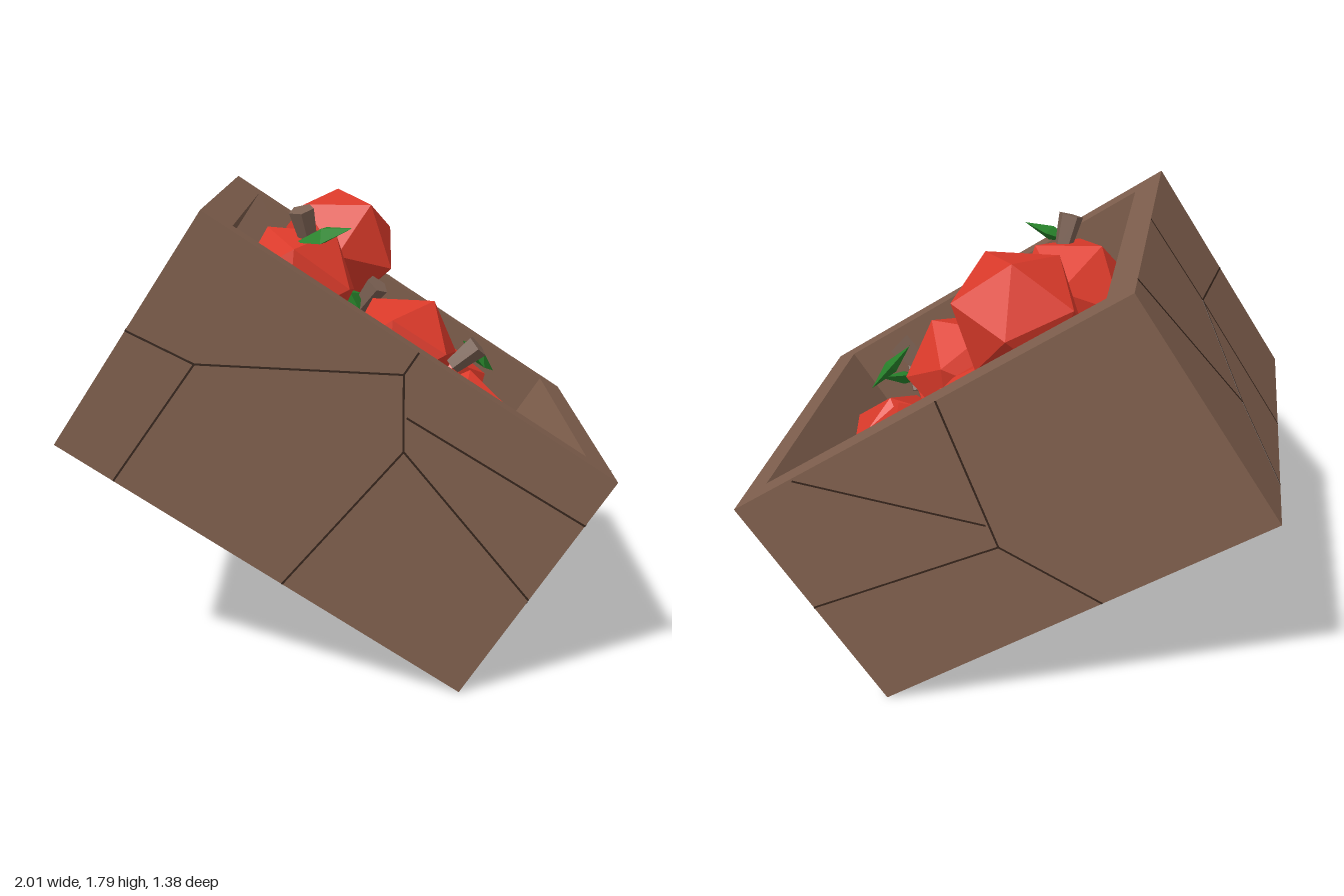
import * as THREE from 'three';

const mat = (color, extra = {}) => new THREE.MeshStandardMaterial({ color, flatShading: true, ...extra });
const wood = mat(0x7f5f4d), gap = mat(0x35241b), red = mat(0xdb3a2a), green = mat(0x27812a), bark = mat(0x7a6052);

// Crate size and tilt
const L = 1.745, H = 0.99, D = 1.38, TILT = -0.5818, WALL_X = 0.118, WALL_Z = 0.1, FLOOR = 0.1;

function add(parent, geometry, material, name) {
  const mesh = new THREE.Mesh(geometry, material);
  mesh.name = name;
  parent.add(mesh);
  return mesh;
}

function rectangle(PathType, w, h) {
  return new PathType([[-w, -h], [w, -h], [w, h], [-w, h]].map(([x, y]) => new THREE.Vector2(x / 2, y / 2)));
}

// Thin dark seams between boards; each line is [u0, v0, u1, v1], from a face's top left corner
function seams(parent, name, lines, w, h, position, turn) {
  const group = new THREE.Group();
  group.name = name;
  group.position.set(...position);
  group.rotation.y = turn;
  for (const [u0, v0, u1, v1] of lines) {
    const a = new THREE.Vector2((u0 - 0.5) * w, (0.5 - v0) * h);
    const b = new THREE.Vector2((u1 - 0.5) * w, (0.5 - v1) * h);
    const seam = add(group, new THREE.BoxGeometry(a.distanceTo(b), 0.007, 0.003), gap, 'seam');
    seam.position.set((a.x + b.x) / 2, (a.y + b.y) / 2, 0);
    seam.rotation.z = Math.atan2(b.y - a.y, b.x - a.x);
  }
  parent.add(group);
}

function buildCrate() {
  const crate = new THREE.Group();
  crate.name = 'crate';
  const ring = rectangle(THREE.Shape, L, D);
  ring.holes.push(rectangle(THREE.Path, L - 2 * WALL_X, D - 2 * WALL_Z));
  const walls = new THREE.ExtrudeGeometry(ring, { depth: H, bevelEnabled: false });
  walls.rotateX(-Math.PI / 2).translate(0, -H / 2, 0);
  add(crate, walls, wood, 'crateWalls');
  add(crate, new THREE.BoxGeometry(L - 2 * WALL_X, FLOOR, D - 2 * WALL_Z), wood, 'crateFloor')
    .position.y = -H / 2 + FLOOR / 2;

  seams(crate, 'frontSeams', [
    [0, 0.5, 0.15, 0.47], [0.15, 0.47, 0.14, 1], [0.15, 0.47, 0.51, 0.095], [0.51, 0.095, 0.51, 0],
    [0.51, 0.095, 0.6, 0.33], [0.6, 0.33, 0.55, 1], [0.6, 0.33, 1, 0.55], [0.565, 0.22, 1, 0.2],
  ], L, H, [0, 0, D / 2], 0);
  seams(crate, 'backSeams', [
    [0.16, 0.01, 0.466, 0.51], [0.54, 0, 0.46, 0.61], [0.46, 0.61, 0, 0.505], [0.46, 0.61, 0.58, 1],
  ], L, H, [0, 0, -D / 2], Math.PI);
  seams(crate, 'leftEndSeams', [
    [0.1, 0, 0, 0.2], [0, 0.56, 0.43, 0.79], [0.43, 0.79, 0.44, 1], [0.43, 0.79, 0.61, 0.53],
    [0.61, 0.53, 1, 0.51], [0.61, 0.53, 0.58, 0],
  ], D, H, [L / 2, 0, 0], Math.PI / 2);
  seams(crate, 'rightEndSeams', [
    [0.2, 1, 0.33, 0.71], [0.33, 0.71, 0.09, 0], [0.33, 0.71, 0.56, 0.39], [0.56, 0.39, 0.55, 1],
    [0.56, 0.39, 0.54, 0], [0.56, 0.39, 1, 0.5],
  ], D, H, [-L / 2, 0, 0], -Math.PI / 2);

  crate.rotation.z = TILT;
  crate.position.y = 0.894;
  return crate;
}

// Apple centres and radii
const APPLES = [
  [-0.01, 1.525, -0.3, 0.26], [-0.16, 1.44, 0.13, 0.25], [0.25, 1.15, -0.01, 0.24],
  [-0.02, 1.07, 0.33, 0.24], [0.33, 0.85, 0.35, 0.24], [0.5, 0.81, -0.08, 0.24],
  [0.4, 0.9, -0.33, 0.24], [0.1, 1.07, -0.2, 0.24], [0.14, 0.85, -0.34, 0.24],
  [-0.2, 1.17, -0.25, 0.24], [-0.25, 1.1, 0.2, 0.24], [0.39, 0.72, 0.17, 0.23],
];

// Stem centre, leaf centre, leaf long direction, leaf normal
const SPRIGS = [
  [[-0.125, 1.675, 0.19], [-0.055, 1.645, 0.25], [0.9, 0.25, 0.2], [-0.2, 0.95, 0.25]],
  [[0.5, 1.15, 0.08], [0.56, 1.13, -0.005], [0.55, -0.6, -0.45], [0.75, 0.65, 0.1]],
  [[0.25, 1.13, -0.43], [0.29, 1.11, -0.49], [0.3, -0.1, -0.9], [0.2, 0.95, 0]],
  [[0.57, 0.87, 0.46], [0.61, 0.9, 0.37], [0.8, 0.2, -0.55], [0.2, 0.9, 0.5]],
  [[0.12, 1.35, -0.14], [0.03, 1.355, -0.07], [-0.5, 0, 0.8], [0.5, 0.7, 0.3]],
  [[-0.19, 1.27, -0.36], [-0.24, 1.23, -0.29], [-0.5, -0.2, 0.7], [-0.3, 0.9, 0]],
];

function buildSprig([stemAt, leafAt, along, up]) {
  const sprig = new THREE.Group();
  sprig.name = 'sprig';
  const x = new THREE.Vector3(...along).normalize();
  const z = new THREE.Vector3().crossVectors(x, new THREE.Vector3(...up)).normalize();
  const y = new THREE.Vector3().crossVectors(z, x);
  const stem = add(sprig, new THREE.CylinderGeometry(0.05, 0.035, 0.13, 5), bark, 'stem');
  stem.position.set(...stemAt);
  stem.quaternion.setFromUnitVectors(new THREE.Vector3(0, 1, 0), new THREE.Vector3(...up).normalize());
  // Folded diamond leaf
  const leaf = add(sprig, new THREE.OctahedronGeometry(1).scale(0.115, 0.028, 0.08), green, 'leaf');
  leaf.quaternion.setFromRotationMatrix(new THREE.Matrix4().makeBasis(x, y, z));
  leaf.position.set(...leafAt);
  return sprig;
}

export function createModel() {
  const model = new THREE.Group();
  model.name = 'appleCrate';
  model.add(buildCrate());
  APPLES.forEach(([x, y, z, r], i) => {
    const apple = add(model, new THREE.IcosahedronGeometry(r, 0), red, 'apple');
    apple.position.set(x, y, z);
    apple.rotation.set(0.55 + i * 1.3, i * 0.9, i * 0.7);
  });
  SPRIGS.forEach((s) => model.add(buildSprig(s)));
  return model;
}
